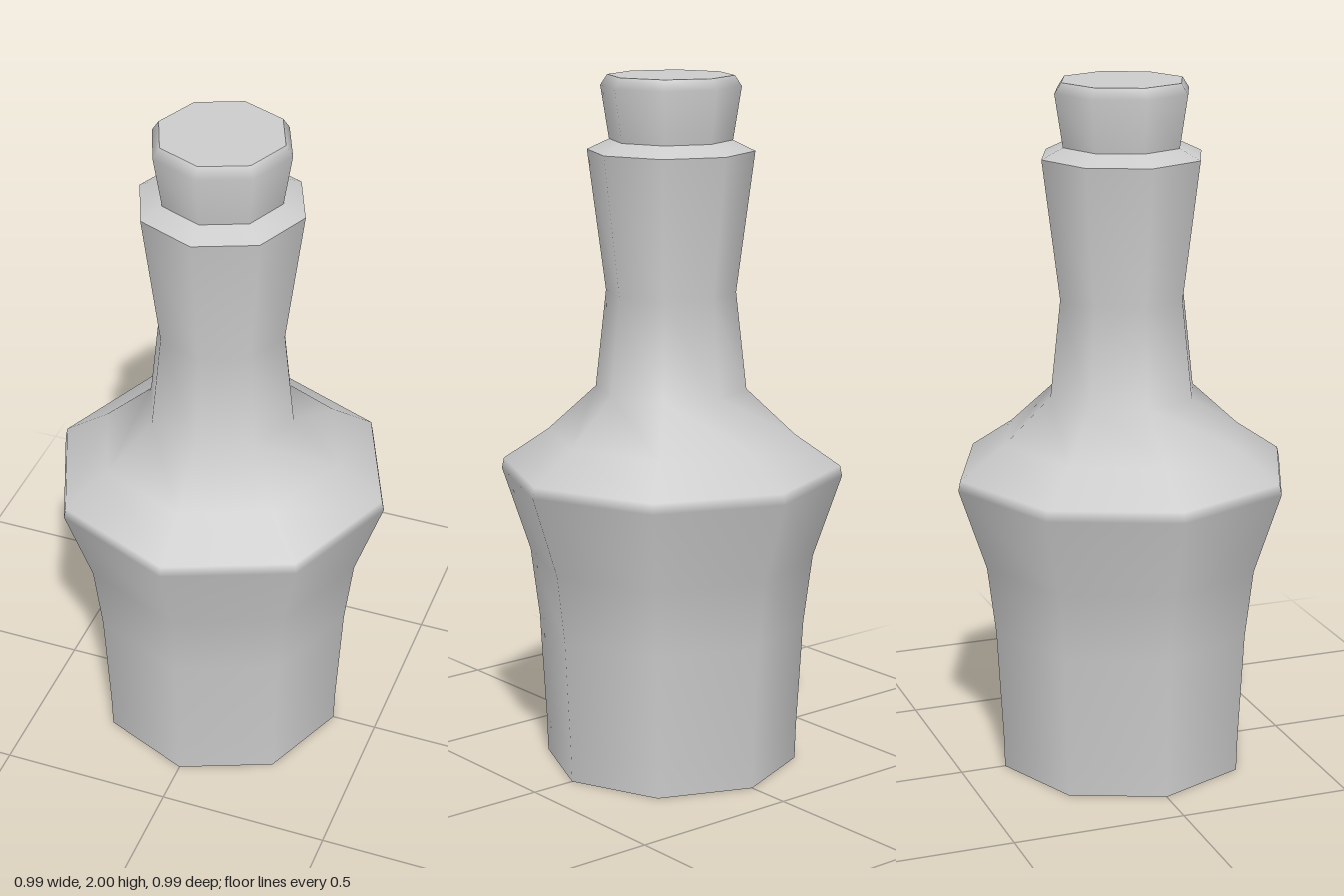
import * as THREE from 'three';

const SIDES = 8;

// Eight-sided turned surface, smooth within one profile, sharp between profiles
function turned(name, profile, material) {
  const points = profile.map(([r, y]) => new THREE.Vector2(r, y));
  const mesh = new THREE.Mesh(new THREE.LatheGeometry(points, SIDES), material);
  mesh.name = name;
  return mesh;
}

export function createModel() {
  const material = new THREE.MeshStandardMaterial({ color: 0xcccccc });

  // Bottle: flat base, flared body, sloping shoulder, waisted neck and bevelled lip
  const bottle = new THREE.Group();
  bottle.name = 'bottle';
  bottle.add(
    turned('base', [[0, 0], [0.367, 0]], material),
    turned('bodyAndNeck', [
      [0.367, 0], [0.37, 0.1], [0.388, 0.42], [0.413, 0.62],
      [0.494, 0.86], [0.488, 0.89], [0.357, 0.98],
      [0.217, 1.11], [0.186, 1.39], [0.238, 1.79],
    ], material),
    turned('lip', [[0.238, 1.79], [0.175, 1.82]], material),
  );

  // Stopper: widens upward, with a small chamfer below its flat top
  const stopper = new THREE.Group();
  stopper.name = 'stopper';
  stopper.add(
    turned('stopperSide', [[0.175, 1.82], [0.199, 1.97], [0.179, 2]], material),
    turned('stopperTop', [[0.179, 2], [0, 2]], material),
  );

  const model = new THREE.Group();
  model.name = 'stopperedBottle';
  model.add(bottle, stopper);
  return model;
}
